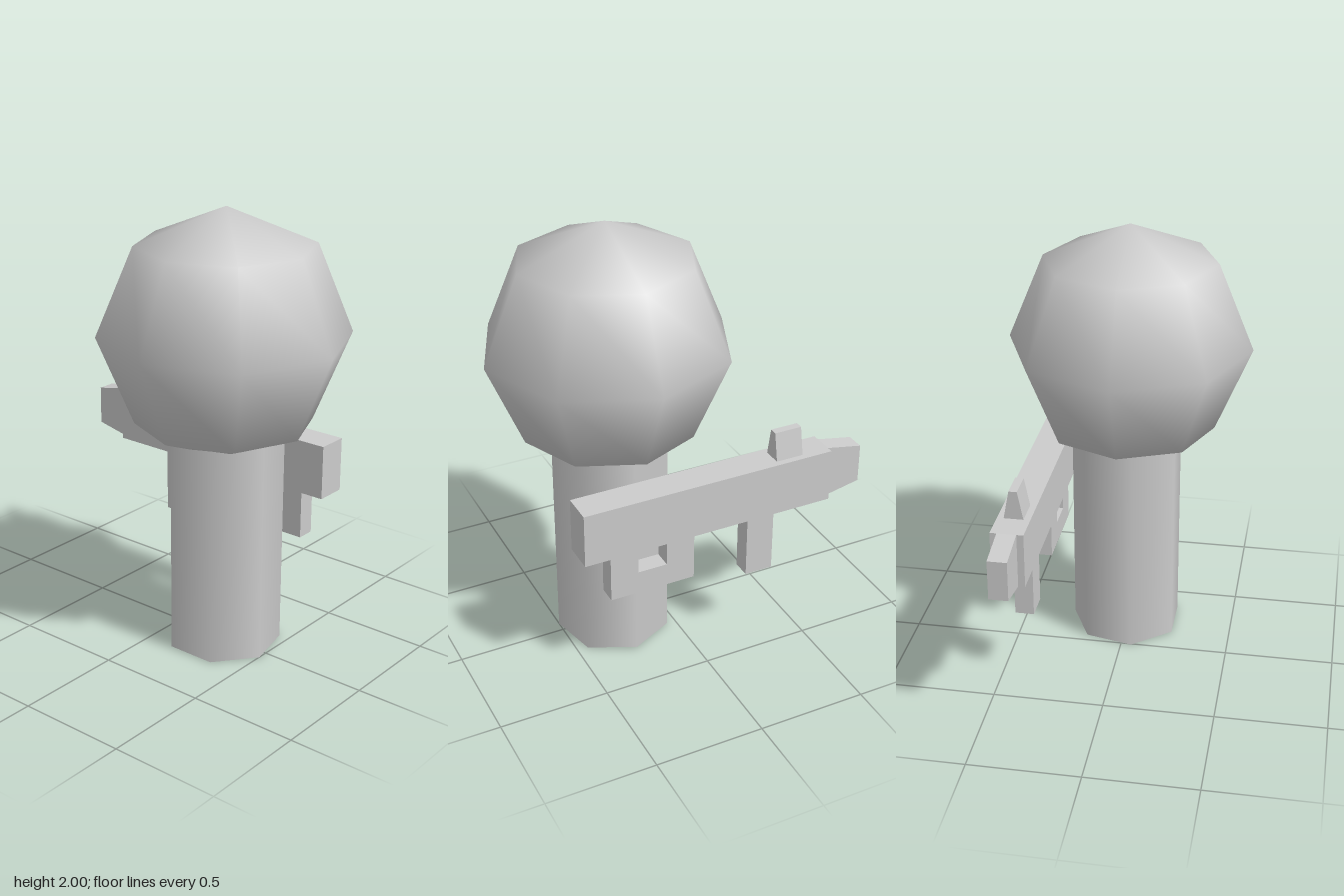
import * as THREE from 'three';

const GUN_X = 0.378;   // centre line of the blaster
const THIN = 0.085;    // width of its narrow parts

const material = new THREE.MeshStandardMaterial({ color: 0xcccccc });

function part(name, geometry) {
  const mesh = new THREE.Mesh(geometry, material);
  mesh.name = name;
  return mesh;
}

function extrude(points, depth) {
  const shape = new THREE.Shape(points.map(([a, b]) => new THREE.Vector2(a, b)));
  return new THREE.ExtrudeGeometry(shape, { depth, bevelEnabled: false }).translate(0, 0, -depth / 2);
}

// Slab with a side outline given as [z, y], centred on the blaster's line
function sideProfile(points, width) {
  return extrude(points, width).rotateY(-Math.PI / 2).translate(GUN_X, 0, 0);
}

function rect(z0, z1, y0, y1) {
  return [[z0, y0], [z1, y0], [z1, y1], [z0, y1]];
}

export function createModel() {
  const model = new THREE.Group();
  model.name = 'figure';

  // Round head on a seven-sided body
  const head = part('head', new THREE.SphereGeometry(0.553, 8, 4));
  head.position.set(0, 1.448, 0.247);
  const body = part('body', new THREE.CylinderGeometry(0.26, 0.26, 1.02, 7, 1, false, Math.PI / 2));
  body.position.set(0.01, 0.51, 0.247);
  model.add(head, body);

  // Blaster held at the side, pointing to the back
  const blaster = new THREE.Group();
  blaster.name = 'blaster';
  blaster.add(
    part('receiver', sideProfile(rect(-0.628, 0.565, 0.67, 0.92), 0.145)),
    part('muzzle', sideProfile([[-0.8, 0.705], [-0.628, 0.67], [-0.628, 0.92], [-0.8, 0.887]], THIN)),
    part('magazine', sideProfile(rect(-0.362, -0.23, 0.36, 0.67), THIN)),
    // U-shaped grip with an open finger hole under the receiver
    part('grip', sideProfile([
      [0.035, 0.67], [0.035, 0.433], [0.435, 0.433], [0.435, 0.67],
      [0.305, 0.67], [0.305, 0.54], [0.168, 0.54], [0.168, 0.67],
    ], THIN)),
    // Sight narrowing towards its top
    part('sight', extrude([[-0.043, 0.92], [0.043, 0.92], [0.018, 1.05], [-0.018, 1.05]], 0.13)
      .translate(GUN_X, 0, -0.432)),
  );
  model.add(blaster);
  return model;
}
